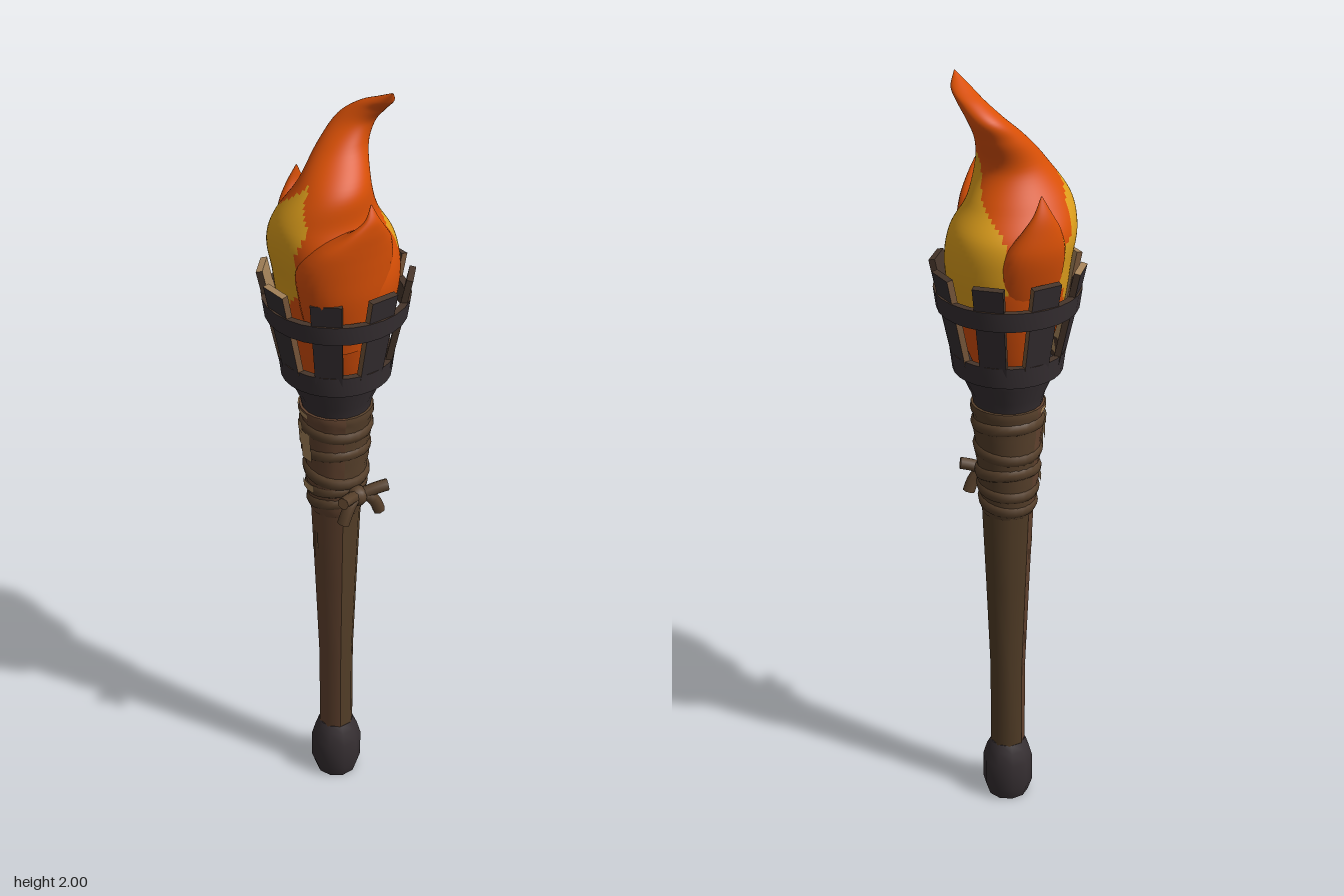
import * as THREE from 'three';
import { toCreasedNormals } from 'three/addons/utils/BufferGeometryUtils.js';

const mat = (name, color, side = THREE.FrontSide) => {
  const m = new THREE.MeshStandardMaterial({ color, side });
  m.name = name;
  return m;
};

// Revolved profile of [radius, height] pairs, optionally only part of the turn
function lathe(points, sides, crease = 0.9, start = 0, turn = Math.PI * 2) {
  const g = new THREE.LatheGeometry(points.map(([r, y]) => new THREE.Vector2(r, y)), sides, start, turn);
  return toCreasedNormals(g, crease);
}

// Smooth skin through elliptical rings [y, cx, cz, rx, rz]; isSecond(angle, y) picks material 1
function loft(rings, steps, sides, isSecond = () => false) {
  const mid = new THREE.CatmullRomCurve3(rings.map(([y, x, z]) => new THREE.Vector3(x, y, z)));
  const size = new THREE.CatmullRomCurve3(rings.map(([y, , , rx, rz]) => new THREE.Vector3(rx, y, rz)));
  const pos = [], first = [], second = [];
  for (let i = 0; i <= steps; i++) {
    const c = mid.getPoint(i / steps), s = size.getPoint(i / steps);
    for (let j = 0; j < sides; j++) {
      const a = (j / sides) * Math.PI * 2;
      pos.push(c.x + Math.sin(a) * Math.max(s.x, 0.001), c.y, c.z + Math.cos(a) * Math.max(s.z, 0.001));
      if (i === steps) continue;
      const k = (j + 1) % sides, p = i * sides;
      const list = isSecond(a + Math.PI / sides, c.y) ? second : first;
      list.push(p + j, p + k, p + sides + k, p + j, p + sides + k, p + sides + j);
    }
  }
  const g = new THREE.BufferGeometry();
  g.setAttribute('position', new THREE.Float32BufferAttribute(pos, 3));
  g.setIndex([...first, ...second]);
  g.addGroup(0, first.length, 0);
  g.addGroup(first.length, second.length, 1);
  g.computeVertexNormals();
  return g;
}

// Smallest angle between two directions
const apart = (a, b) => Math.abs(Math.atan2(Math.sin(a - b), Math.cos(a - b)));

export function createModel() {
  const model = new THREE.Group();
  model.name = 'torch';
  const iron = mat('dark iron', 0x362f32);
  const wood = mat('dark wood', 0x523d27);
  const redWood = mat('reddish wood', 0x62432f);
  const cloth = mat('cloth wrap', 0x57402b);
  const tan = mat('worn tan', 0xa5835a, THREE.DoubleSide);
  const rust = mat('rusty brown', 0x755539);
  const soot = mat('sooty brown', 0x46352a);
  const orange = mat('flame orange', 0xda5006);
  const yellow = mat('flame yellow', 0xe0a01c);

  const add = (name, geometry, material, parent = model) => {
    const m = new THREE.Mesh(geometry, material);
    m.name = name;
    parent.add(m);
    return m;
  };

  // Handle, redder on the front, and end cap
  const shaft = [[0.045, 0.12], [0.046, 0.4], [0.056, 0.65], [0.067, 0.9], [0.075, 1.17]];
  add('handleFront', lathe(shaft, 3, 0.9, -Math.PI * 3 / 8, Math.PI * 3 / 4), redWood);
  add('handleBack', lathe(shaft, 5, 0.9, Math.PI * 3 / 8, Math.PI * 5 / 4), wood);
  add('pommel', lathe([[0, 0], [0.054, 0], [0.066, 0.035], [0.066, 0.11], [0.056, 0.145], [0.045, 0.165], [0, 0.165]], 10), iron);

  // Cloth wrap, redder on the front, with soft, slanting folds
  const wrap = [[0.064, 0.865], [0.072, 0.89], [0.071, 0.93], [0.078, 0.96], [0.077, 1.0], [0.083, 1.03],
    [0.083, 1.07], [0.088, 1.1], [0.087, 1.14], [0.094, 1.155], [0.092, 1.172], [0.07, 1.175]];
  add('clothWrapFront', lathe(wrap, 8, 1, -Math.PI * 3 / 8, Math.PI * 3 / 4), redWood);
  add('clothWrapBack', lathe(wrap, 14, 1, Math.PI * 3 / 8, Math.PI * 5 / 4), cloth);
  const coils = [[0.9, 0.064, 0.2], [0.94, 0.068, 0.14], [0.985, 0.073, -0.2], [1.05, 0.076, 0.15], [1.12, 0.081, -0.1]];
  coils.forEach(([y, r, tilt], i) => {
    const coil = add('wrapCoil' + (i + 1), new THREE.TorusGeometry(r, 0.0125, 8, 24), cloth);
    coil.rotation.set(Math.PI / 2, tilt, 0);
    coil.scale.z = 1.5;
    coil.position.y = y;
  });

  // Worn patches: [name, y, height, radius, angle, width]
  [
    ['wrapPatchTop', 1.12, 0.03, 0.0955, -0.36, 0.35],
    ['wrapPatchUpper', 1.09, 0.045, 0.093, -0.2, 0.7],
    ['wrapPatchLower', 1.052, 0.035, 0.0915, -0.05, 0.45],
    ['wrapPatchCoil', 0.95, 0.022, 0.085, -0.1, 0.6],
    ['wrapRim', 1.164, 0.014, 0.095, -0.5, 1.1],
    ['scratchLeft', 0.77, 0.05, 0.063, -0.3, 0.08],
    ['scratchMiddle', 0.765, 0.08, 0.063, -0.13, 0.08],
    ['scratchRight', 0.78, 0.05, 0.063, 0.05, 0.08],
  ].forEach(([name, y, h, r, angle, width]) => {
    const p = add(name, new THREE.CylinderGeometry(r, r - 0.001, h, 5, 1, true, angle - width / 2, width), tan);
    p.position.y = y;
  });

  // Knot with four loose ends on the left side
  const knot = add('knot', new THREE.SphereGeometry(0.027, 10, 8), cloth);
  knot.position.set(0.086, 0.937, 0);
  [[0.118, 0.957, 0.07], [0.12, 0.96, -0.07], [0.1, 0.882, 0.055], [0.105, 0.882, -0.055]].forEach(([x, y, z], i) => {
    const end = new THREE.Vector3(x, y, z);
    const curve = new THREE.QuadraticBezierCurve3(
      new THREE.Vector3(0.085, 0.935, 0), new THREE.Vector3(0.105, 0.955, z * 0.55), end);
    add('knotEnd' + (i + 1), new THREE.TubeGeometry(curve, 6, 0.016, 7), cloth);
    const tip = add('knotTip' + (i + 1), new THREE.CircleGeometry(0.016, 7), rust);
    tip.position.copy(end);
    tip.lookAt(end.clone().add(curve.getTangent(1)));
  });

  // Iron cup and two bands with sooty insides
  add('cup', lathe([[0, 1.172], [0.086, 1.172], [0.092, 1.2], [0.112, 1.245], [0.118, 1.275], [0, 1.275]], 20), iron);
  const band = (name, r0, r1, y0, y1) => {
    add(name + 'Outside', lathe([[r0 - 0.018, y0], [r0, y0], [r1, y1]], 28), iron);
    add(name + 'Inside', lathe([[r1, y1], [r1 - 0.018, y1], [r0 - 0.018, y0]], 28), soot);
  };
  band('lowerBand', 0.136, 0.143, 1.265, 1.32);
  band('upperBand', 0.174, 0.181, 1.43, 1.48);

  // Eight leaning slats, iron outside; the two at the front right are worn pale inside
  const slatGeo = new THREE.BoxGeometry(0.07, 0.262, 0.016);
  const sp = slatGeo.attributes.position;
  for (let i = 0; i < sp.count; i++) sp.setX(i, sp.getX(i) * (1 + sp.getY(i) * 0.6));
  for (let i = 0; i < 8; i++) {
    const arm = new THREE.Group();
    arm.name = 'slat' + (i + 1);
    arm.rotation.y = (i * Math.PI) / 4;
    model.add(arm);
    const edge = i % 2 ? soot : rust;
    const inner = i === 0 || i === 7 ? tan : soot;
    const slat = add('slatPlate', slatGeo, [edge, edge, inner, iron, iron, inner], arm);
    slat.position.set(0, 1.412, 0.152);
    slat.rotation.x = Math.atan2(0.06, 0.28);
  }

  // Main flame, with yellow areas on the front and back
  add('mainFlame', loft([
    [1.24, 0, 0, 0.07, 0.07], [1.33, 0, 0, 0.105, 0.105], [1.45, 0, 0, 0.14, 0.138],
    [1.55, 0, 0, 0.155, 0.152], [1.63, -0.005, 0.012, 0.148, 0.154], [1.7, 0, 0.03, 0.112, 0.13],
    [1.78, 0.02, 0.022, 0.084, 0.088], [1.86, -0.008, -0.027, 0.057, 0.06], [1.91, -0.01, -0.066, 0.05, 0.043],
    [1.945, 0.022, -0.085, 0.04, 0.032], [1.97, 0.06, -0.09, 0.025, 0.024], [2.0, 0.098, -0.086, 0.001, 0.001],
  ], 80, 72, (a, y) => {
    const grow = THREE.MathUtils.clamp((y - 1.38) / 0.14, 0, 1);
    const wobble = 0.1 * Math.sin(y * 45) * grow;
    const front = apart(a, -0.48 + Math.max(0, y - 1.55) * 2.2) < grow * Math.min(0.75, (1.81 - y) * 6) + wobble;
    const back = apart(a, Math.PI + 0.12 - Math.max(0, y - 1.6) * 1.8) < grow * Math.min(0.9, (1.83 - y) * 4) - wobble;
    return y > 1.4 && y < 1.81 && (front || back);
  }), [orange, yellow]);

  // Side tongues of fire, the right one yellow low on its front
  add('rightTongue', loft([
    [1.42, -0.085, 0, 0.035, 0.06], [1.53, -0.115, -0.005, 0.045, 0.08], [1.61, -0.135, -0.005, 0.046, 0.078],
    [1.67, -0.153, 0, 0.027, 0.05], [1.71, -0.16, 0, 0.013, 0.025], [1.755, -0.154, 0, 0.001, 0.001],
  ], 24, 24, (a, y) => y > 1.47 && y < 1.63 && apart(a, 0.3) < 0.95), [orange, yellow]);
  add('leftTongue', loft([
    [1.38, 0.06, 0.03, 0.06, 0.08], [1.53, 0.08, 0.04, 0.08, 0.118], [1.61, 0.087, 0.042, 0.085, 0.126],
    [1.67, 0.122, 0.042, 0.058, 0.1], [1.72, 0.164, 0.038, 0.022, 0.05], [1.75, 0.175, 0.033, 0.01, 0.02],
    [1.785, 0.168, 0.03, 0.001, 0.001],
  ], 28, 32), orange);

  return model;
}
